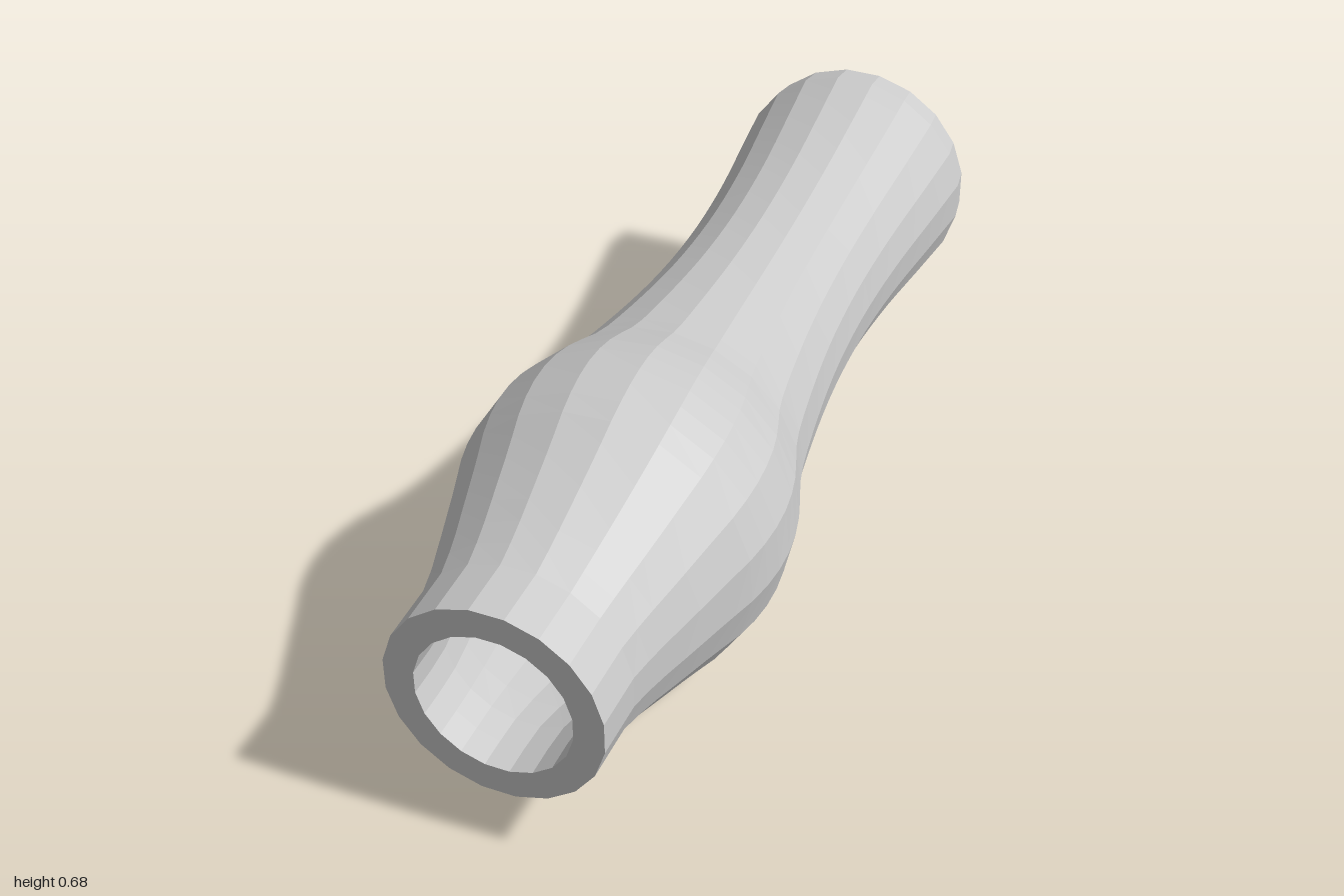
import * as THREE from 'three';

const SIDES = 20;
const CENTRE_Y = 0.34;

// Radius along the length, from the closed back to the open front: [z, radius]
const OUTER = [
  [-0.94, 0.27], [-0.8, 0.255], [-0.6, 0.234], [-0.4, 0.225], [-0.2, 0.232],
  [0, 0.255], [0.16, 0.283], [0.2, 0.297], [0.3, 0.329], [0.4, 0.34],
  [0.5, 0.329], [0.6, 0.299], [0.7, 0.27], [0.8, 0.241], [0.87, 0.226],
];
const WALL = 0.06;

// Smooth curve through the radii, sampled into rings
function rings(count) {
  const curve = new THREE.CatmullRomCurve3(
    OUTER.map(([z, r]) => new THREE.Vector3(r, z, 0)), false, 'centripetal');
  return curve.getSpacedPoints(count).map((p) => new THREE.Vector2(p.x, p.y));
}

// Facets lean slowly round the axis behind the straight collar
function twist(geometry) {
  const pos = geometry.attributes.position;
  const axis = new THREE.Vector3(0, 1, 0);
  const v = new THREE.Vector3();
  for (let i = 0; i < pos.count; i++) {
    v.fromBufferAttribute(pos, i);
    const t = THREE.MathUtils.clamp((0.87 - v.y) / 1.81, 0, 1);
    v.applyAxisAngle(axis, t * 2 * Math.PI / SIDES);
    pos.setXYZ(i, v.x, v.y, v.z);
  }
  return geometry;
}

// Revolve a profile round the z axis
function revolve(name, points, material) {
  const geometry = twist(new THREE.LatheGeometry(points, SIDES, Math.PI / SIDES));
  geometry.rotateX(Math.PI / 2);
  geometry.computeVertexNormals();
  const mesh = new THREE.Mesh(geometry, material);
  mesh.name = name;
  return mesh;
}

export function createModel() {
  const group = new THREE.Group();
  group.name = 'hollowHandle';
  const material = new THREE.MeshStandardMaterial({ color: 0xcccccc, flatShading: true });
  const P = (r, z) => new THREE.Vector2(r, z);

  // Outer skin: flat back, bevelled butt, waist, bulge and straight collar
  const skin = rings(36);
  group.add(revolve('outerBody', [P(0, -1), P(0.26, -1), ...skin, P(0.225, 1)], material));

  // Flat ring round the mouth
  group.add(revolve('mouthRim', [P(0.225, 1), P(0.162, 1)], material));

  // Short bore opening into a chamber that follows the skin
  const chamber = rings(24).reverse().map((p) => P(Math.max(p.x - WALL, 0.165), p.y));
  group.add(revolve('innerChamber',
    [P(0.162, 1), P(0.162, 0.935), ...chamber, P(0, -0.94)], material));

  group.position.y = CENTRE_Y;
  return group;
}
